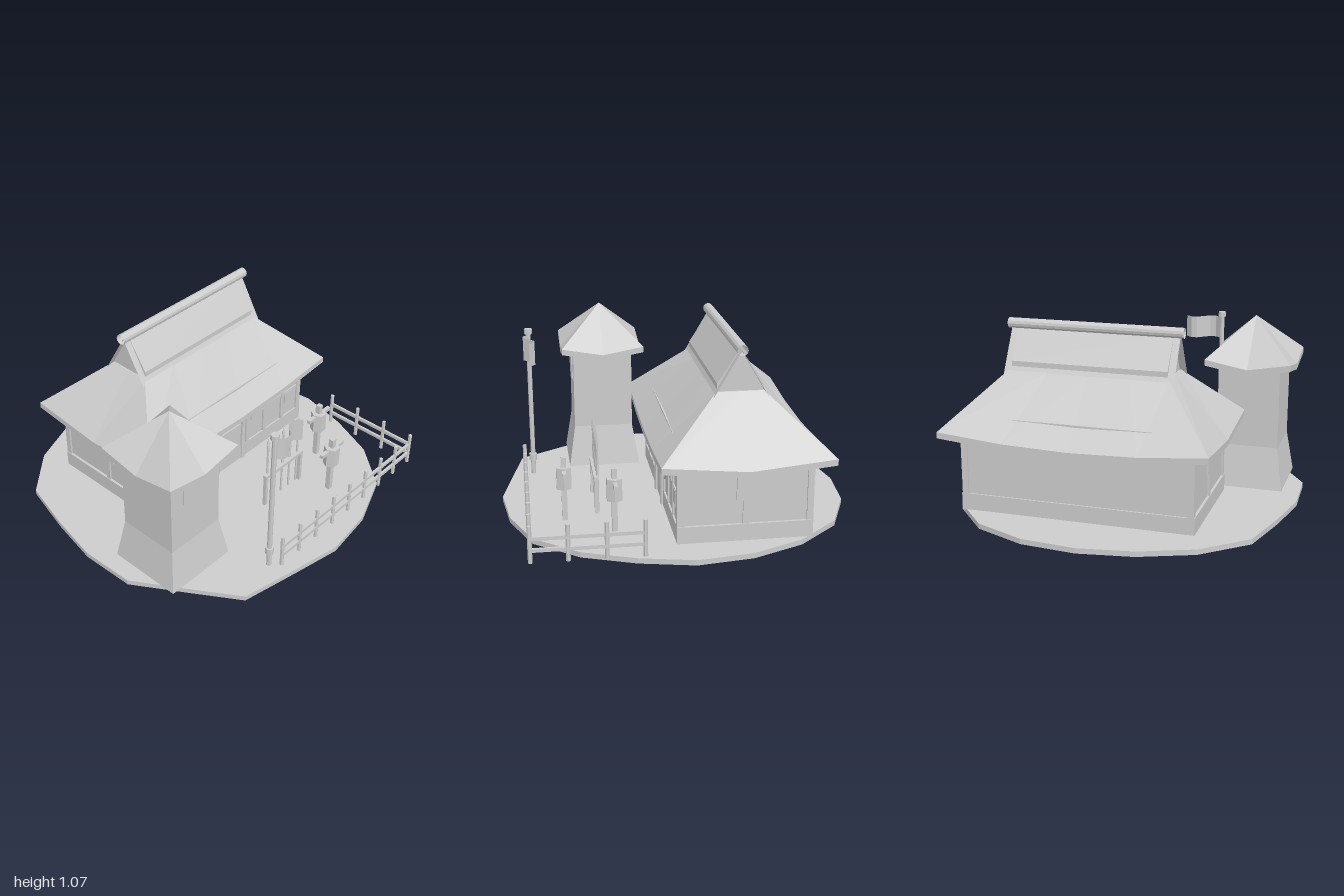
import * as THREE from 'three';

const stone = new THREE.MeshStandardMaterial({ color: 0xcccccc, side: THREE.DoubleSide, flatShading: true });
stone.name = 'pale grey';

function add(parent, name, geometry, x = 0, y = 0, z = 0) {
  const mesh = new THREE.Mesh(geometry, stone);
  mesh.name = name;
  mesh.position.set(x, y, z);
  parent.add(mesh);
  return mesh;
}
const box = (parent, name, w, h, d, x, y, z) => add(parent, name, new THREE.BoxGeometry(w, h, d), x, y, z);
const rod = (parent, name, r, y0, y1, x, z, sides = 8, rTop = r) =>
  add(parent, name, new THREE.CylinderGeometry(rTop, r, y1 - y0, sides), x, (y0 + y1) / 2, z);

function group(parent, name, x = 0, y = 0, z = 0) {
  const g = new THREE.Group();
  g.name = name;
  g.position.set(x, y, z);
  parent.add(g);
  return g;
}

// Skin a stack of rings (each anticlockwise from above) and close both ends
function loft(rings) {
  const pos = [];
  const tri = (...pts) => pts.forEach((p) => pos.push(...p));
  const n = rings[0].length;
  const centre = (ring) => [0, 1, 2].map((k) => ring.reduce((s, p) => s + p[k], 0) / n);
  const low = rings[0], high = rings[rings.length - 1];
  const cLow = centre(low), cHigh = centre(high);
  for (let i = 0; i < n; i++) {
    const j = (i + 1) % n;
    for (let r = 0; r + 1 < rings.length; r++) {
      const a = rings[r], b = rings[r + 1];
      tri(a[i], a[j], b[j]);
      tri(a[i], b[j], b[i]);
    }
    tri(low[j], low[i], cLow);
    tri(high[i], high[j], cHigh);
  }
  const g = new THREE.BufferGeometry();
  g.setAttribute('position', new THREE.Float32BufferAttribute(pos, 3));
  g.computeVertexNormals();
  return g;
}

// Rectangular ring whose sides sag between the corners
function rectRing(hx, hz, y, sag, segX, segZ) {
  const corners = [[1, 1], [1, -1], [-1, -1], [-1, 1]];
  const ring = [];
  corners.forEach(([sx, sz], c) => {
    const [ex, ez] = corners[(c + 1) % 4];
    const seg = c % 2 ? segX : segZ;
    for (let i = 0; i < seg; i++) {
      const t = i / seg;
      ring.push([hx * (sx + (ex - sx) * t), y - sag * 4 * t * (1 - t), hz * (sz + (ez - sz) * t)]);
    }
  });
  return ring;
}

function hipRoof(hx, hz, tx, tz, yEave, yTop, sag, segX, segZ) {
  return loft([
    rectRing(hx, hz, yEave - 0.035, sag, segX, segZ),
    rectRing(hx, hz, yEave, sag, segX, segZ),
    rectRing(tx, tz, yTop, 0, segX, segZ),
  ]);
}

function buildGround(root) {
  const radii = [0.99, 1, 1.02, 1.04, 1.02, 1, 1, 1.03, 1.05, 0.98, 0.99, 1.03, 1, 1.07, 0.98, 0.99, 1, 1.03, 1, 0.97];
  const ring = (y) => radii.map((r, k) => {
    const a = (k / radii.length) * Math.PI * 2;
    return [r * Math.cos(a), y, -r * Math.sin(a)];
  });
  add(root, 'ground', loft([ring(0), ring(0.03)]));
}

function buildHall(root) {
  const hall = group(root, 'hall', 0.12, 0, -0.295);
  box(hall, 'plinth', 1.34, 0.1, 0.74, 0, 0.075, 0);
  box(hall, 'walls', 1.31, 0.545, 0.72, 0, 0.3025, 0);
  add(hall, 'lowerRoof', hipRoof(0.76, 0.465, 0.46, 0.13, 0.5, 0.8, 0.045, 4, 2));

  // Steep upper roof: gable core, two thin slopes and an open ridge tube
  const gable = new THREE.Shape();
  gable.moveTo(-0.125, 0.78);
  gable.lineTo(0.125, 0.78);
  gable.lineTo(0.125, 0.845);
  gable.lineTo(0, 1.03);
  gable.lineTo(-0.125, 0.845);
  const core = new THREE.ExtrudeGeometry(gable, { depth: 0.9, bevelEnabled: false });
  core.translate(0, 0, -0.45).rotateY(Math.PI / 2);
  add(hall, 'gable', core);
  for (const s of [1, -1]) {
    const slope = new THREE.PlaneGeometry(0.98, 0.318);
    slope.rotateX(-0.527).translate(0, 0.8925, 0.08);
    if (s < 0) slope.rotateY(Math.PI);
    add(hall, 'upperRoofSlope', slope);
  }
  const ridge = new THREE.CylinderGeometry(0.03, 0.03, 1.02, 12, 1, true).rotateZ(Math.PI / 2);
  add(hall, 'ridge', ridge, 0, 1.035, 0);

  // Corner posts and side windows
  for (const sx of [1, -1]) {
    for (const sz of [1, -1]) box(hall, 'cornerPost', 0.035, 0.34, 0.035, sx * 0.648, 0.29, sz * 0.353);
    box(hall, 'sideWindow', 0.02, 0.16, 0.1, sx * 0.656, 0.34, 0);
    box(hall, 'sidePost', 0.02, 0.16, 0.03, sx * 0.656, 0.2, 0);
  }

  // Front timber framing, windows and pennants
  const pennant = new THREE.Shape();
  [[-0.05, 0.43], [-0.05, 0.28], [0, 0.23], [0.05, 0.28], [0.05, 0.43]].forEach(([x, y], i) =>
    i ? pennant.lineTo(x, y) : pennant.moveTo(x, y));
  for (const s of [1, -1]) {
    for (const x of [0.16, 0.32, 0.49]) box(hall, 'frontPost', 0.025, 0.32, 0.02, s * x, 0.28, 0.36);
    box(hall, 'frontRail', 0.48, 0.02, 0.02, s * 0.4, 0.3, 0.358);
    box(hall, 'frontWindow', 0.1, 0.1, 0.02, s * 0.405, 0.37, 0.36);
    box(hall, 'lowPanel', 0.1, 0.08, 0.02, s * 0.565, 0.26, 0.36);
    add(hall, 'pennant', new THREE.ExtrudeGeometry(pennant, { depth: 0.008, bevelEnabled: false }), s * 0.235, 0, 0.37);
    rod(hall, 'doorJamb', 0.016, 0.03, 0.27, s * 0.115, 0.37, 6);
  }
  add(hall, 'doorArch', new THREE.TorusGeometry(0.115, 0.016, 6, 10, Math.PI), 0, 0.27, 0.37);
  box(hall, 'door', 0.19, 0.27, 0.01, 0, 0.165, 0.366);
}

function buildTower(root) {
  const tower = group(root, 'watchtower', -0.66, 0, 0.35);
  const square = (h, y) => rectRing(h, h, y, 0, 1, 1);
  add(tower, 'towerFoot', loft([square(0.22, 0.03), square(0.18, 0.28)]));
  box(tower, 'towerWalls', 0.36, 0.49, 0.36, 0, 0.51, 0);
  box(tower, 'towerWindow', 0.185, 0.15, 0.01, 0, 0.645, 0.183);
  add(tower, 'towerRoof', hipRoof(0.25, 0.25, 0, 0, 0.8, 1.03, 0.045, 2, 2));
}

function buildFlag(root) {
  const flag = group(root, 'flagpole', -0.36, 0, 0.8);
  rod(flag, 'pole', 0.014, 0.03, 0.95, 0, 0);
  rod(flag, 'poleCollar', 0.024, 0.12, 0.16, 0, 0);
  rod(flag, 'poleCap', 0.024, 0.92, 0.95, 0, 0);
  const cloth = new THREE.PlaneGeometry(0.22, 0.135, 6, 1);
  const p = cloth.attributes.position;
  for (let i = 0; i < p.count; i++) p.setZ(i, 0.038 * Math.sin(((p.getX(i) + 0.11) / 0.22) * Math.PI * 2));
  cloth.computeVertexNormals();
  add(flag, 'flag', cloth, 0.12, 0.8475, 0);
}

function buildFence(root) {
  const fence = group(root, 'fence');
  for (let i = 0; i < 9; i++) rod(fence, 'fencePost', 0.012, 0.03, 0.235, -0.31 + i * 0.151, 0.85, 6);
  for (let i = 0; i < 3; i++) rod(fence, 'fencePost', 0.012, 0.03, 0.235, 0.898, 0.255 + i * 0.2, 6);
  for (const y of [0.1, 0.165]) {
    box(fence, 'frontFenceRail', 1.21, 0.02, 0.014, 0.295, y, 0.85);
    box(fence, 'sideFenceRail', 0.014, 0.02, 0.6, 0.898, y, 0.55);
  }
}

function buildYard(root) {
  // Spear rack
  const rack = group(root, 'spearRack', 0.157, 0, 0.458);
  box(rack, 'rackBar', 0.335, 0.02, 0.025, 0, 0.24, 0.005);
  for (const s of [1, -1]) box(rack, 'rackLeg', 0.02, 0.2, 0.02, s * 0.157, 0.13, 0.005);
  for (let i = -2; i <= 2; i++) {
    rod(rack, 'spearShaft', 0.007, 0.03, 0.46, i * 0.068, -0.005, 6);
    rod(rack, 'spearTip', 0.013, 0.46, 0.505, i * 0.068, -0.005, 4, 0.001);
  }
  // Training dummies
  for (const [x, z] of [[0.375, 0.645], [0.58, 0.385]]) {
    const dummy = group(root, 'trainingDummy', x, 0, z);
    box(dummy, 'dummyPost', 0.03, 0.34, 0.03, 0, 0.2, 0);
    rod(dummy, 'dummyBody', 0.047, 0.22, 0.345, 0, 0, 6).rotation.y = Math.PI / 6;
    box(dummy, 'dummyArms', 0.2, 0.022, 0.022, 0, 0.325, 0);
    box(dummy, 'dummyHead', 0.03, 0.06, 0.03, 0, 0.37, 0);
  }
}

export function createModel() {
  const root = new THREE.Group();
  root.name = 'walledHall';
  [buildGround, buildHall, buildTower, buildFlag, buildFence, buildYard].forEach((build) => build(root));
  return root;
}
